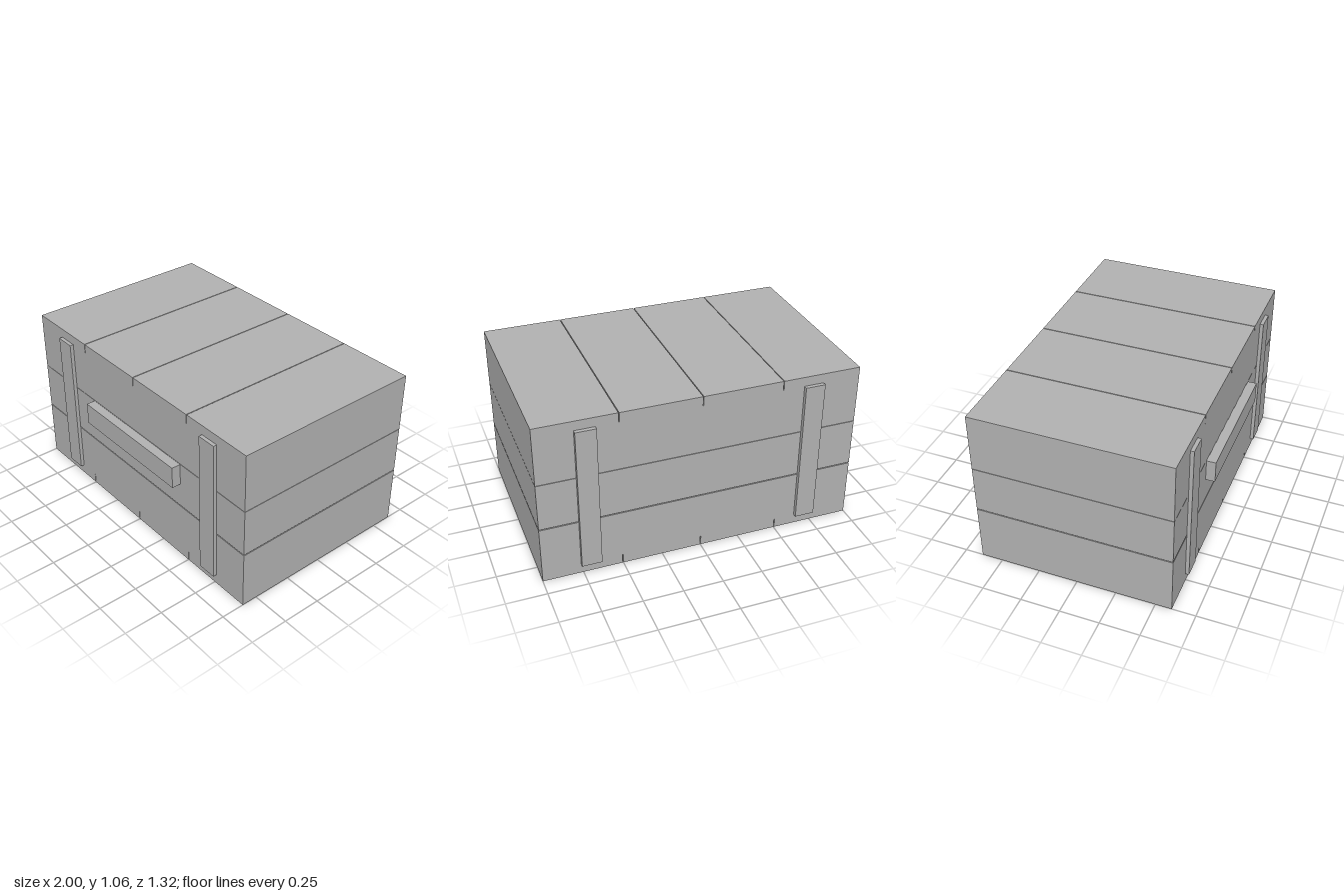
import * as THREE from 'three';

export function createModel() {
  const crate = new THREE.Group();
  crate.name = 'crate';
  const grey = new THREE.MeshStandardMaterial({ color: 0xb2b2b2 });
  grey.name = 'plain grey';

  // Box given by its extents on each axis
  function board(name, [x0, x1], [y0, y1], [z0, z1]) {
    const mesh = new THREE.Mesh(new THREE.BoxGeometry(x1 - x0, y1 - y0, z1 - z0), grey);
    mesh.position.set((x0 + x1) / 2, (y0 + y1) / 2, (z0 + z1) / 2);
    mesh.name = name;
    crate.add(mesh);
  }

  const back = -0.635, front = 0.602, wall = 0.063, gap = 0.005;

  // Lid and floor: four planks each, running front to back
  const slats = [[-1, -0.5 - gap], [-0.5, -gap / 2], [gap / 2, 0.5], [0.5 + gap, 1]];
  for (const x of slats) {
    board('floorPlank', x, [0, 0.062], [back, front]);
    board('lidPlank', x, [1, 1.06], [back, front]);
  }

  // Hollow walls: three courses of planks
  for (const y of [[0.062, 0.374], [0.38, 0.684], [0.687, 1]]) {
    board('frontPlank', [-1, 1], y, [front - wall, front]);
    board('backPlank', [-1, 1], y, [back, back + wall]);
    for (const s of [-1, 1]) {
      const x = s < 0 ? [-1, -1 + wall] : [1 - wall, 1];
      board('sidePlank', x, y, [back + wall, front - wall]);
    }
  }

  // Upright battens on front and back
  for (const x of [[-0.763, -0.638], [0.638, 0.763]]) {
    board('frontBatten', x, [0.063, 1], [front, 0.625]);
    board('backBatten', x, [0.063, 1], [-0.66, back]);
  }

  // Handle bar on the front
  board('handle', [-0.437, 0.435], [0.54, 0.682], [front, 0.66]);

  return crate;
}
